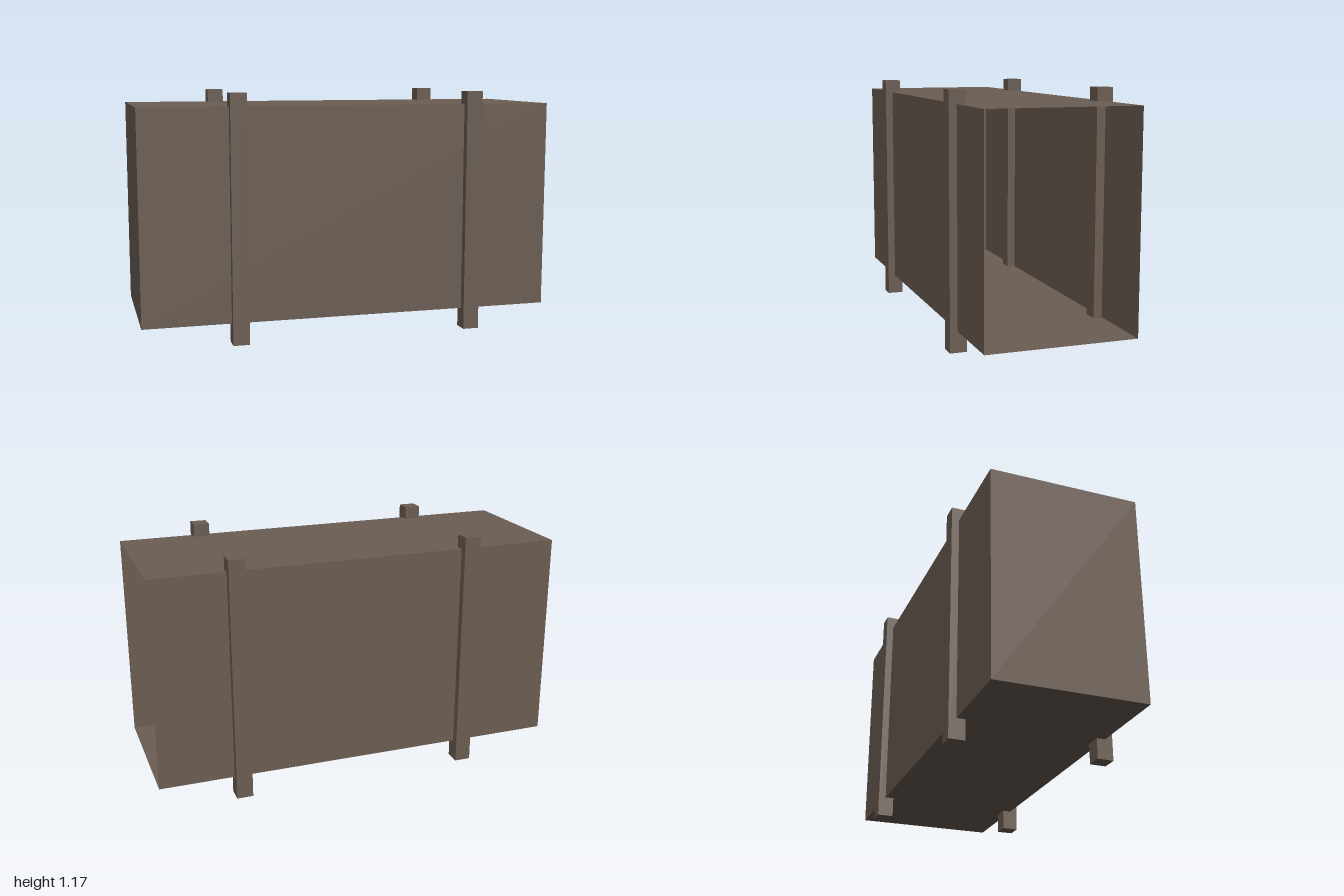
import * as THREE from 'three';

export function createModel() {
  const group = new THREE.Group();
  const wood = new THREE.MeshStandardMaterial({ color: 0x6b5d52, side: THREE.DoubleSide });
  wood.name = 'brown wood';

  // Thin-walled crate body, open at the +x end (the first face of the box is dropped)
  const shell = new THREE.BoxGeometry(2, 1.008, 0.706);
  shell.setIndex(Array.from(shell.index.array).slice(6));
  shell.clearGroups();
  const body = new THREE.Mesh(shell, wood);
  body.name = 'crateBody';
  body.position.y = 0.602;
  group.add(body);

  // Four upright posts set halfway into the long walls
  const postGeometry = new THREE.BoxGeometry(0.078, 1.168, 0.078);
  for (const [side, z] of [['front', 0.35], ['back', -0.35]]) {
    for (const [end, x] of [['Right', -0.545], ['Left', 0.602]]) {
      const post = new THREE.Mesh(postGeometry, wood);
      post.name = `${side}${end}Post`;
      post.position.set(x, 0.584, z);
      group.add(post);
    }
  }
  return group;
}
